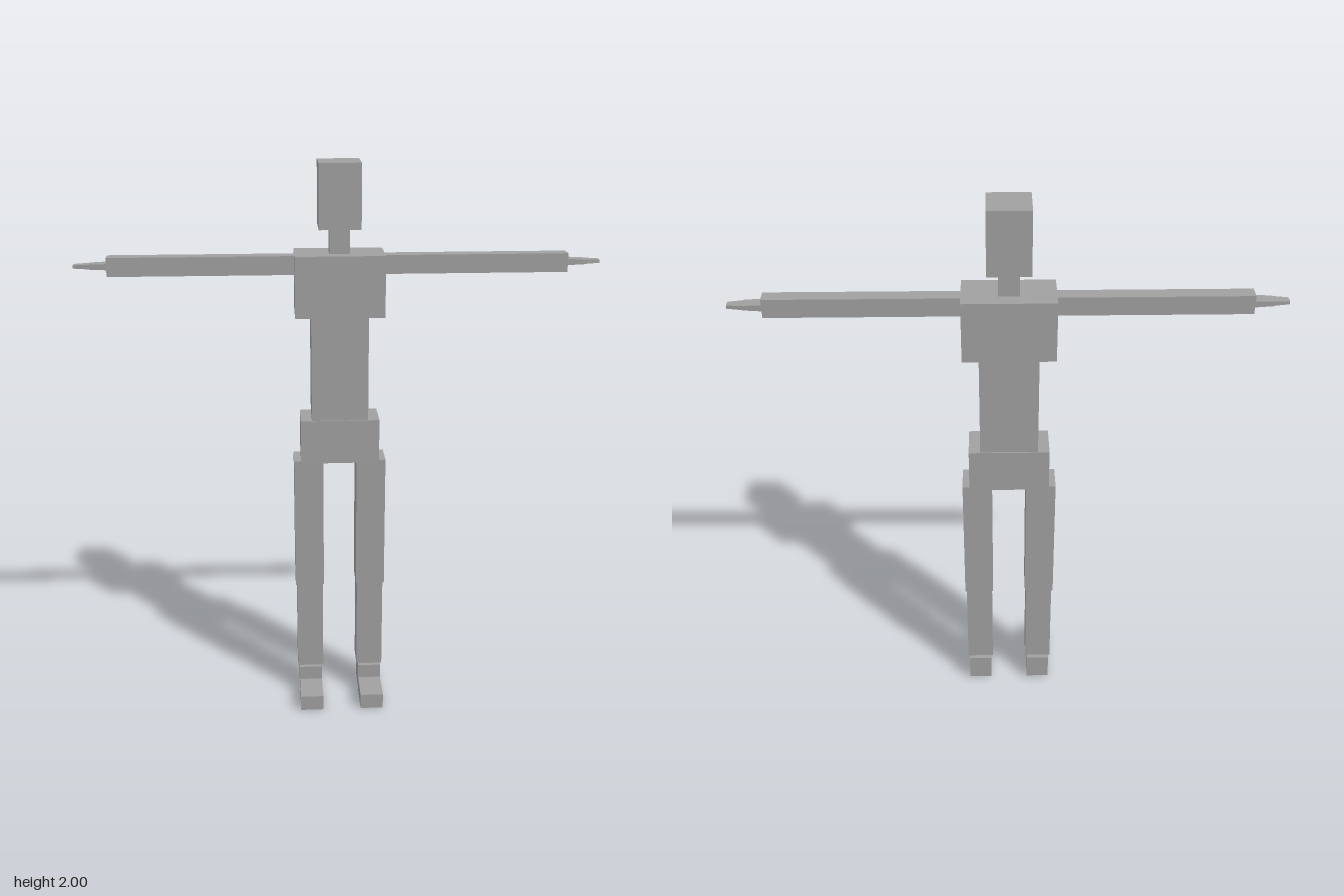
import * as THREE from 'three';

export function createModel() {
  const model = new THREE.Group();
  model.name = 'blockFigure';
  const grey = new THREE.MeshStandardMaterial({ color: 0xa0a0a0, name: 'grey' });

  // Box given by its [min, max] range on each axis
  function block(name, [x0, x1], [y0, y1], [z0, z1]) {
    const geo = new THREE.BoxGeometry(x1 - x0, y1 - y0, z1 - z0);
    const mesh = new THREE.Mesh(geo, grey);
    mesh.name = name;
    mesh.position.set((x0 + x1) / 2, (y0 + y1) / 2, (z0 + z1) / 2);
    model.add(mesh);
    return mesh;
  }

  // Shrink the outer end of a block along x
  function taper(mesh, side, scaleY, scaleZ) {
    const p = mesh.geometry.attributes.position;
    for (let i = 0; i < p.count; i++) {
      if (p.getX(i) * side > 0) {
        p.setY(i, p.getY(i) * scaleY);
        p.setZ(i, p.getZ(i) * scaleZ);
      }
    }
    mesh.geometry.computeVertexNormals();
  }

  // Head and trunk
  block('head', [-0.072, 0.072], [1.78, 2], [-0.125, 0.018]);
  block('neck', [-0.035, 0.035], [1.693, 1.78], [-0.087, -0.017]);
  block('chest', [-0.155, 0.155], [1.48, 1.693], [-0.137, 0.028]);
  block('waist', [-0.1, 0.1], [1.105, 1.48], [-0.115, 0.01]);
  block('pelvis', [-0.14, 0.14], [0.945, 1.105], [-0.12, 0.015]);

  for (const side of [1, -1]) {
    const label = side > 0 ? 'left' : 'right';
    const span = (a, b) => (side > 0 ? [a, b] : [-b, -a]);

    // Arm with a flat, tapering hand
    block(label + 'Arm', span(0.155, 0.793), [1.62, 1.685], [-0.083, -0.031]);
    const palm = block(label + 'Palm', span(0.793, 0.855), [1.643, 1.664], [-0.081, -0.033]);
    taper(palm, side, 0.8, 0.85);
    const fingers = block(label + 'Fingers', span(0.855, 0.907), [1.646, 1.661], [-0.077, -0.037]);
    taper(fingers, side, 0.75, 0.65);

    // Leg and foot
    block(label + 'Thigh', span(0.06, 0.165), [0.455, 0.948], [-0.108, -0.001]);
    block(label + 'Shin', span(0.064, 0.16), [0.11, 0.455], [-0.103, -0.005]);
    block(label + 'Heel', span(0.07, 0.154), [0.01, 0.11], [-0.119, 0.01]);
    block(label + 'Toes', span(0.07, 0.154), [0, 0.057], [0.01, 0.137]);
  }
  return model;
}
